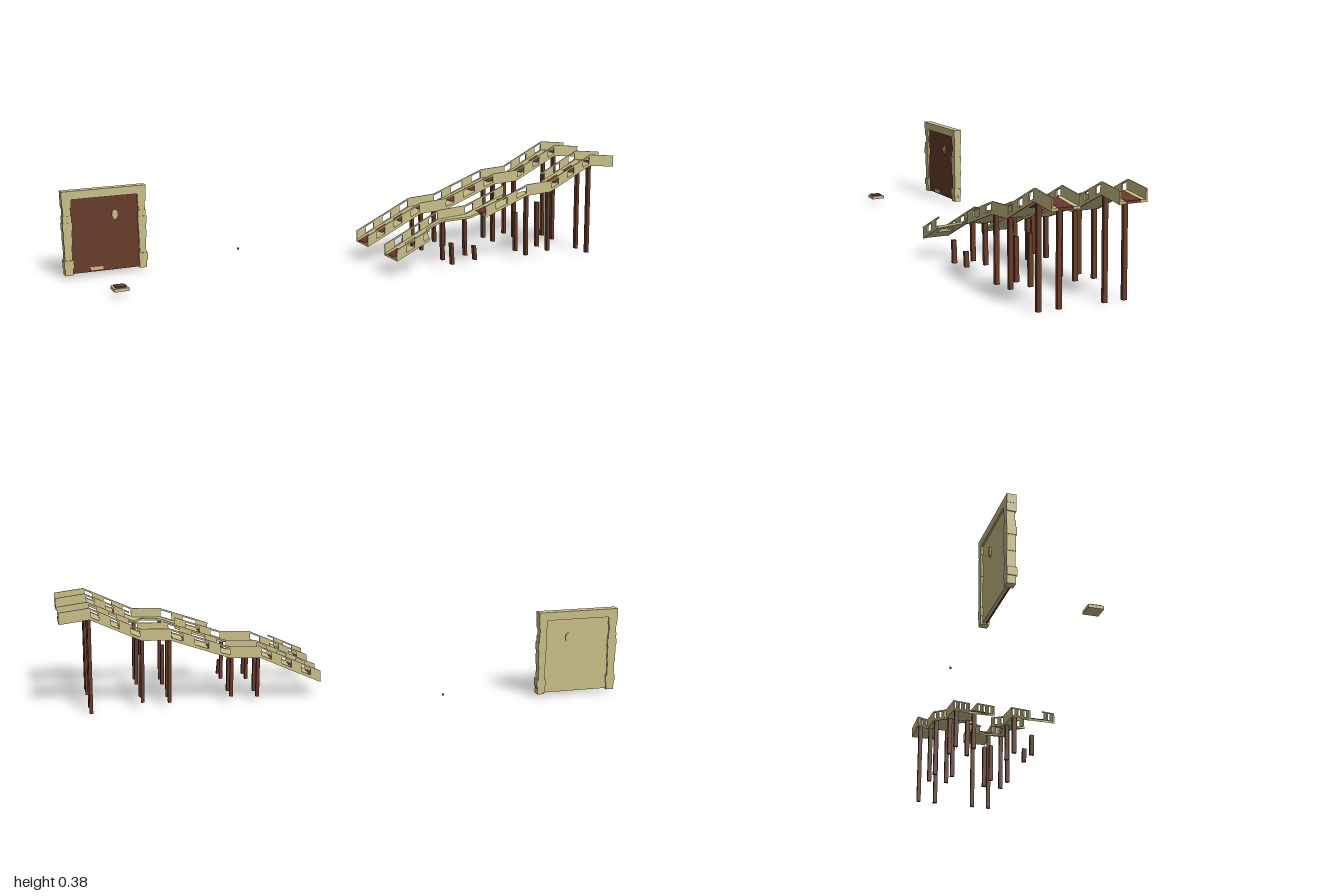
import * as THREE from 'three';

const cream = new THREE.MeshStandardMaterial({ color: 0xc9bf88, flatShading: true, side: THREE.DoubleSide });
const brown = new THREE.MeshStandardMaterial({ color: 0x663b29, flatShading: true, side: THREE.DoubleSide });

// Underside of the stepped walkway: [x, y]
const PROFILE = [[0.07, 0.06], [0.29, 0.165], [0.4, 0.172], [0.61, 0.25], [0.71, 0.255], [0.885, 0.34], [0.99, 0.328]];
// Floor inlays, also the solid panels of the sloping rails
const INLAYS = [[0.07, 0.11], [0.14, 0.18], [0.215, 0.25], [0.3, 0.375], [0.435, 0.475], [0.525, 0.565],
  [0.6, 0.675], [0.745, 0.785], [0.815, 0.85], [0.895, 0.9905]];
const PANELS = [[0.07, 0.108], [0.14, 0.178], [0.212, 0.25], [0.285, 0.4], [0.433, 0.475], [0.523, 0.565],
  [0.605, 0.715], [0.745, 0.785], [0.813, 0.853], [0.88, 0.99]];
const HALF = 0.0495;

function lerpAt(table, x) {
  for (let i = 1; i < table.length; i++) {
    const [x0, y0] = table[i - 1], [x1, y1] = table[i];
    if (x <= x1) return y0 + (y1 - y0) * Math.max(0, (x - x0) / (x1 - x0));
  }
  return table[table.length - 1][1];
}

function add(parent, name, geometry, material, x = 0, y = 0, z = 0) {
  const mesh = new THREE.Mesh(geometry, material);
  mesh.name = name;
  mesh.position.set(x, y, z);
  parent.add(mesh);
  return mesh;
}

// Box given by its limits
function block(parent, name, mat, x0, x1, y0, y1, z0, z1) {
  return add(parent, name, new THREE.BoxGeometry(x1 - x0, y1 - y0, z1 - z0), mat,
    (x0 + x1) / 2, (y0 + y1) / 2, (z0 + z1) / 2);
}

// Slab following the walkway from xa to xb; back and front are z values or [x, z] tables
function slab(parent, name, mat, xa, xb, back, front, low, high) {
  const tables = [PROFILE, back, front].filter(Array.isArray);
  const knots = tables.flatMap((t) => t.map((p) => p[0])).filter((x) => x > xa && x < xb);
  const xs = [...new Set([xa, ...knots, xb])].sort((a, b) => a - b);
  const zAt = (e, x) => (Array.isArray(e) ? lerpAt(e, x) : e);
  const pos = [], idx = [];
  xs.forEach((x, i) => {
    const y = lerpAt(PROFILE, x), z0 = zAt(back, x), z1 = zAt(front, x);
    pos.push(x, y + low, z0, x, y + low, z1, x, y + high, z1, x, y + high, z0);
    if (i === 0) return;
    for (let k = 0; k < 4; k++) {
      const a = (i - 1) * 4 + k, b = (i - 1) * 4 + ((k + 1) % 4);
      idx.push(a, a + 4, b, b, a + 4, b + 4);
    }
  });
  const e = (xs.length - 1) * 4;
  idx.push(0, 1, 2, 0, 2, 3, e, e + 2, e + 1, e, e + 3, e + 2);
  const indexed = new THREE.BufferGeometry();
  indexed.setAttribute('position', new THREE.Float32BufferAttribute(pos, 3));
  indexed.setIndex(idx);
  const geo = indexed.toNonIndexed();
  geo.computeVertexNormals();
  return add(parent, name, geo, mat);
}

// Rail on one side, limited to the span xa..xb
function rail(parent, z, xa, xb) {
  const z0 = z - 0.0025, z1 = z + 0.0025;
  slab(parent, 'lowerRail', cream, xa, xb, z0, z1, -0.001, 0.01);
  slab(parent, 'upperRail', cream, xa, xb, z0, z1, 0.035, 0.041);
  for (const [p0, p1] of PANELS) {
    const a = Math.max(p0, xa), b = Math.min(p1, xb);
    if (b - a > 0.005) slab(parent, 'railPanel', cream, a, b, z0, z1, 0.009, 0.036);
  }
}

// Slightly leaning support
function post(parent, x, z, bottom, top) {
  const geo = new THREE.BoxGeometry(0.012, top - bottom, 0.0155);
  const p = geo.attributes.position;
  for (let i = 0; i < p.count; i++) p.setX(i, p.getX(i) + (p.getY(i) > 0 ? -0.003 : 0.003));
  geo.computeVertexNormals();
  add(parent, 'supportPost', geo, brown, x, (top + bottom) / 2, z);
}

function walkway(name, zc, broken) {
  const g = new THREE.Group();
  g.name = name;
  const b = zc - HALF, f = zc + HALF;
  if (broken) {
    // Torn deck: a back tongue and a front tongue meeting in the middle
    const tornFront = [[0.07, f], [0.2, f], [0.23, 0.18], [0.44, 0.21], [0.53, 0.205], [0.565, b + 0.002]];
    const tornBack = [[0.43, f - 0.002], [0.44, 0.21], [0.53, 0.205], [0.68, 0.235], [0.73, b], [0.99, b]];
    slab(g, 'deck', cream, 0.07, 0.14, b, f, 0, 0.008);
    slab(g, 'deck', cream, 0.14, 0.18, b, zc - 0.026, 0, 0.008);
    slab(g, 'deck', cream, 0.14, 0.18, zc + 0.026, f, 0, 0.008);
    slab(g, 'deck', cream, 0.18, 0.565, b, tornFront, 0, 0.008);
    slab(g, 'deck', cream, 0.43, 0.99, tornBack, f, 0, 0.008);
    rail(g, b + 0.0025, 0.07, 0.565);
    rail(g, b + 0.0025, 0.73, 0.99);
    rail(g, f - 0.0025, 0.07, 0.2);
    rail(g, f - 0.0025, 0.43, 0.99);
  } else {
    slab(g, 'deck', cream, 0.07, 0.99, b, f, 0, 0.008);
    for (const z of [b + 0.0025, f - 0.0025]) rail(g, z, 0.07, 0.99);
  }
  INLAYS.forEach(([x0, x1], i) => {
    if (broken && [1, 2, 3, 6].includes(i)) return;
    const front = broken && i === 5 ? 0.205 : zc + 0.027;
    const low = broken && i === 8 ? -0.001 : 0.001;
    slab(g, 'floorInlay', brown, x0, broken && i === 5 ? 0.53 + 0.01 : x1, zc - 0.027, front, low, 0.0092);
  });
  // Support pairs
  for (const [x, bottom] of [[0.3, 0.02], [0.395, 0.027], [0.615, 0.02], [0.71, 0.027], [0.89, 0]]) {
    for (const s of [-1, 1]) {
      let top = lerpAt(PROFILE, x) + 0.002;
      if (broken && x === 0.395 && s > 0) top = 0.08;
      if (broken && x === 0.3 && s > 0) top = 0.1;
      if (broken && x === 0.71 && s < 0) top = 0.2;
      if (broken && x === 0.615 && s < 0) top = 0.17;
      post(g, x, zc + s * 0.0355, bottom, top);
    }
  }
  return g;
}

function door() {
  const g = new THREE.Group();
  g.name = 'door';
  block(g, 'doorPanel', brown, -0.97, -0.72, 0.014, 0.29, -0.243, -0.236);
  block(g, 'doorBack', cream, -0.97, -0.72, 0.014, 0.29, -0.252, -0.243);
  block(g, 'lintel', cream, -1, -0.695, 0.285, 0.315, -0.258, -0.227);
  // Uneven jamb stones: [bottom, top, inset]
  const stones = [[0.01, 0.037, 0.003], [0.037, 0.065, 0], [0.065, 0.12, 0.004], [0.12, 0.175, 0.002],
    [0.175, 0.202, 0], [0.202, 0.225, 0.002], [0.225, 0.256, 0.004], [0.256, 0.285, 0.001]];
  for (const [y0, y1, d] of stones) {
    block(g, 'jambStone', cream, -1 + d, -0.965 - d, y0, y1, -0.258, -0.227 - d);
    block(g, 'jambStone', cream, -0.727 + d, -0.695 - d, y0, y1, -0.258, -0.227 - d);
  }
  // Handles on both faces, and a plate at the foot
  for (const z of [-0.234, -0.254]) {
    const plate = add(g, 'handlePlate', new THREE.CylinderGeometry(0.011, 0.011, 0.005, 8), cream, -0.81, 0.217, z);
    plate.rotation.x = Math.PI / 2;
    plate.scale.z = 1.6;
  }
  block(g, 'footPlate', cream, -0.905, -0.858, 0.02, 0.032, -0.238, -0.233);
  const ring = add(g, 'sideRing', new THREE.TorusGeometry(0.004, 0.001, 5, 10), cream, -0.697, 0.033, -0.247);
  ring.rotation.y = Math.PI / 2;
  return g;
}

export function createModel() {
  const model = new THREE.Group();
  model.name = 'walkwaysAndDoor';
  model.add(walkway('intactWalkway', -0.0225, false), walkway('brokenWalkway', 0.2105, true), door());

  // Pressure plate
  const plate = new THREE.Group();
  plate.name = 'pressurePlate';
  block(plate, 'plateBase', cream, -0.906, -0.855, 0.02, 0.031, 0.029, 0.08);
  block(plate, 'plateButton', brown, -0.899, -0.862, 0.031, 0.036, 0.036, 0.073);
  model.add(plate);

  // Small loose chip
  block(model, 'looseChip', brown, -0.341, -0.335, 0.032, 0.038, -0.254, -0.248);
  return model;
}
